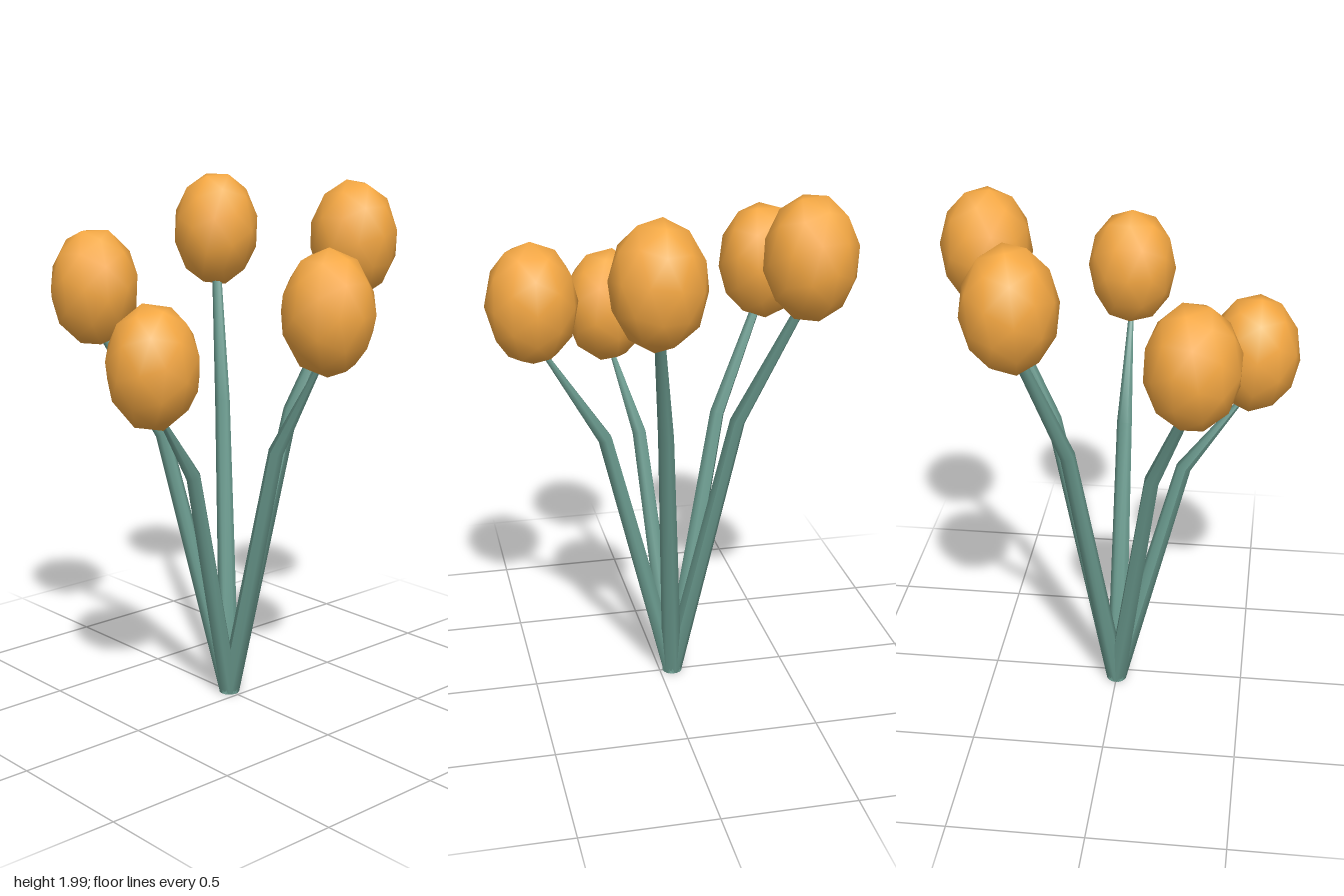
import * as THREE from 'three';

const stemMaterial = new THREE.MeshStandardMaterial({ color: 0x6a9a8e });
const budMaterial = new THREE.MeshStandardMaterial({ color: 0xf5a843 });

// Six-sided stem with one bend; the rings lie at the base, the bend and the tip
function stemGeometry(height, tipRadius) {
  const rings = [
    { out: 0, y: 0, r: 0.039, tilt: 0 },
    { out: 0.26, y: 0.28 + 0.475 * height, r: 0.029, tilt: 0.38 },
    { out: 0.5, y: height - 0.16, r: tipRadius, tilt: 0.5 },
  ];
  const geometry = new THREE.CylinderGeometry(1, 1, 2, 6, 2);
  const p = geometry.attributes.position;
  for (let i = 0; i < p.count; i++) {
    const { out, y, r, tilt } = rings[Math.round(p.getY(i) + 1)];
    const x = p.getX(i) * r;
    p.setXYZ(i, out + x * Math.cos(tilt), y - x * Math.sin(tilt), p.getZ(i) * r);
  }
  geometry.computeVertexNormals();
  return geometry;
}

// Faceted egg-shaped flower head, turned a little differently each time
function budGeometry(turn) {
  return new THREE.IcosahedronGeometry(1, 1)
    .rotateX(turn * 0.7)
    .rotateY(turn)
    .scale(0.17, 0.228, 0.17);
}

export function createModel() {
  const model = new THREE.Group();
  model.name = 'flowerBunch';

  // Flowers fan out evenly around the shared foot
  const flowers = [
    { height: 1.575, tip: 0.008, turn: 0 },
    { height: 1.395, tip: 0.008, turn: 0.3 },
    { height: 1.595, tip: 0.018, turn: 0.6 },
    { height: 1.772, tip: 0.018, turn: 0.9 },
    { height: 1.765, tip: 0.018, turn: 1.2 },
  ];
  flowers.forEach(({ height, tip, turn }, i) => {
    const flower = new THREE.Group();
    flower.name = `flower${i + 1}`;
    flower.position.x = -0.05;
    flower.rotation.y = -i * Math.PI * 2 / flowers.length;

    const stem = new THREE.Mesh(stemGeometry(height, tip), stemMaterial);
    stem.name = 'stem';
    const bud = new THREE.Mesh(budGeometry(turn), budMaterial);
    bud.name = 'flowerHead';
    bud.position.set(0.52, height, 0);

    flower.add(stem, bud);
    model.add(flower);
  });
  return model;
}
